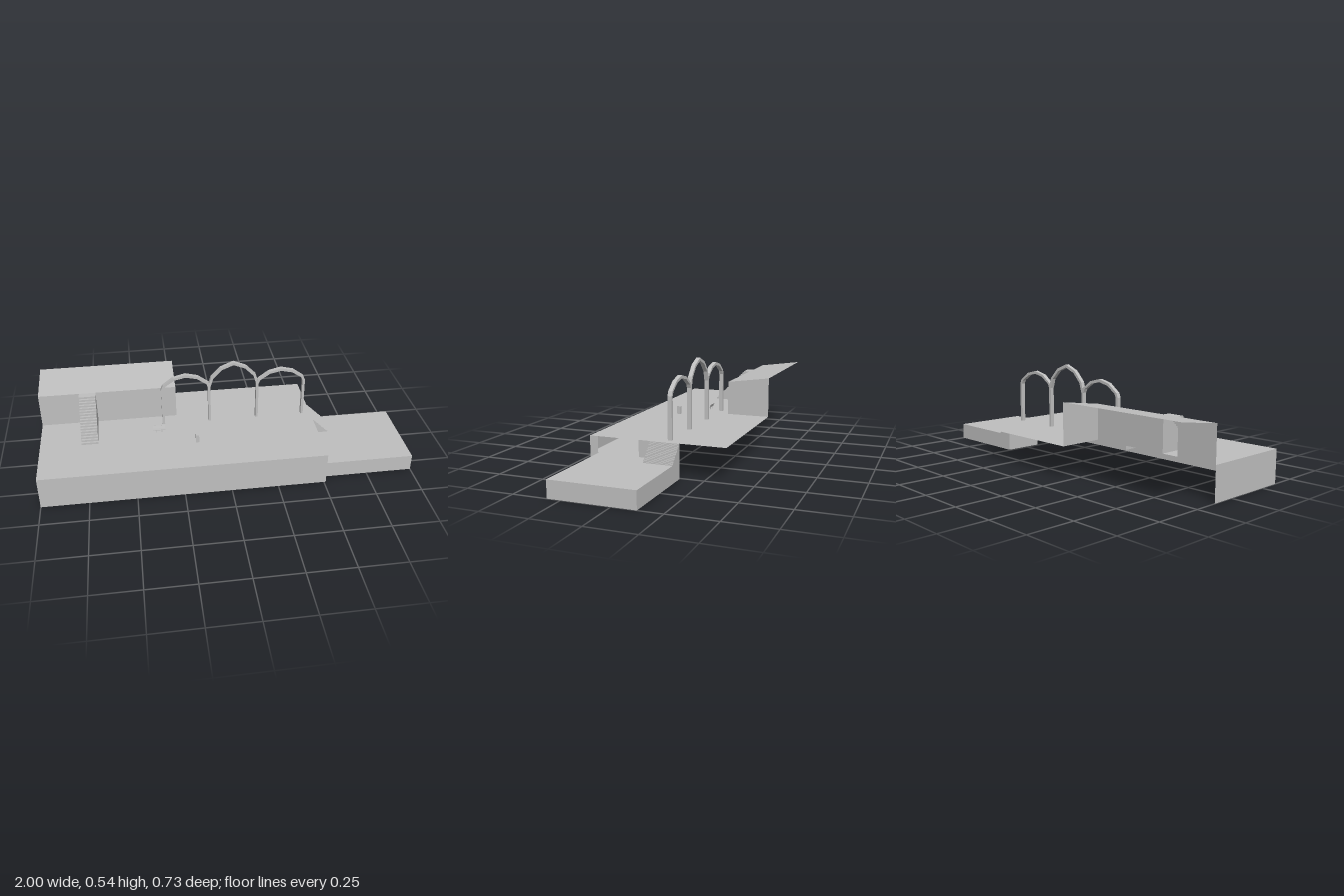
import * as THREE from 'three';

const concrete = new THREE.MeshStandardMaterial({ color: 0xbfbfbf, side: THREE.DoubleSide, flatShading: true });
concrete.name = 'concrete grey';

const DECK = 0.178, LOW = 0.09, BACK = -0.365, FRONT = 0.365, FACE = -0.125, EAVE = 0.367, END = 0.51;

export function createModel() {
  const model = new THREE.Group();
  model.name = 'steppedPlatform';

  const add = (name, geometry, parent = model) => {
    const mesh = new THREE.Mesh(geometry, concrete);
    mesh.name = name;
    parent.add(mesh);
    return mesh;
  };
  // open sheet from a list of four-cornered faces
  const sheet = (name, ...quads) => {
    const g = new THREE.BufferGeometry();
    const pos = quads.flatMap(([a, b, c, d]) => [a, b, c, a, c, d].flat());
    g.setAttribute('position', new THREE.Float32BufferAttribute(pos, 3));
    g.computeVertexNormals();
    return add(name, g);
  };
  const floor = (x0, x1, z0, z1, y, yBack = y) => [[x0, y, z1], [x1, y, z1], [x1, yBack, z0], [x0, yBack, z0]];
  const wallX = (x0, x1, y0, y1, z) => [[x0, y0, z], [x1, y0, z], [x1, y1, z], [x0, y1, z]];
  const wallZ = (z0, z1, y0, y1, x) => [[x, y0, z1], [x, y0, z0], [x, y1, z0], [x, y1, z1]];
  const box = (name, x0, x1, y0, y1, z0, z1, parent) =>
    add(name, new THREE.BoxGeometry(x1 - x0, y1 - y0, z1 - z0), parent)
      .position.set((x0 + x1) / 2, (y0 + y1) / 2, (z0 + z1) / 2);

  // upper platform
  sheet('upperDeck', floor(-1, END, FACE, FRONT, DECK), floor(-0.25, END, BACK, FACE, DECK));
  sheet('upperPlatformWalls', wallX(-1, END, 0, DECK, FRONT), wallZ(FACE, FRONT, 0, DECK, -1),
    wallZ(0.32, FRONT, 0, DECK, END), wallZ(FACE, 0.093, 0, DECK, END));

  // lower platform and the passage that runs in beneath the deck
  sheet('lowerDeck', floor(END, 1, FACE, 0.32, LOW));
  sheet('lowerPlatformWalls', wallX(END, 1, 0, LOW, 0.32), wallX(END, 1, 0, LOW, FACE), wallZ(FACE, 0.32, 0, LOW, 1));
  sheet('passage', floor(-0.245, END, 0.093, FRONT, LOW), wallX(-0.245, END, LOW, DECK, 0.093),
    wallZ(0.093, FRONT, LOW, DECK, -0.245));

  // building with sloping roof, open at the back
  const s0 = -0.78, s1 = -0.69;
  sheet('buildingRoof', floor(-1, -0.25, BACK, FACE, EAVE, 0.4), floor(s0, s1, FACE, -0.087, EAVE));
  sheet('buildingWalls', wallX(-1, s0, DECK, EAVE, FACE), wallX(s1, -0.25, DECK, EAVE, FACE),
    [[-0.25, DECK, FACE], [-0.25, DECK, BACK], [-0.25, 0.4, BACK], [-0.25, EAVE, FACE]]);

  // stairs up to the roof
  const steps = [], n = 17;
  const rise = (EAVE - DECK) / n, run = (0.093 + 0.087) / (n - 1);
  for (let i = 0; i < n; i++) {
    const y = DECK + i * rise, z = 0.093 - i * run;
    const back = i === n - 1 ? FACE : z - run;
    steps.push(wallX(s0, s1, y, y + rise, z));
    if (i < n - 1) steps.push(floor(s0, s1, back, z, y + rise));
    for (const x of [s0, s1]) steps.push(wallZ(back, z, DECK, y + rise, x));
  }
  sheet('roofStairs', ...steps);

  // stairs between the two platforms
  const down = [], m = 18, dy = (DECK - LOW) / m, dx = 0.09 / m;
  for (let i = 0; i < m; i++) {
    const x = END + i * dx, y = DECK - i * dy;
    down.push(floor(x, x + dx, FACE, 0.03, y), wallZ(FACE, 0.03, y - dy, y, x + dx));
    for (const z of [FACE, 0.03]) down.push(wallX(x, x + dx, LOW, y, z));
  }
  sheet('platformStairs', ...down);

  // row of three arches on four posts
  const z0 = -0.068, z1 = -0.046;
  const posts = [-0.327, -0.069, 0.199, 0.461];
  for (const x of posts) box('archPost', x - 0.007, x + 0.007, DECK, 0.4, z0, z1);
  const low = [[-1, 0.4], [-0.93, 0.424], [-0.5, 0.468], [0, 0.485], [0.5, 0.468], [0.93, 0.424], [1, 0.4]];
  const high = [[-1, 0.4], [-0.88, 0.457], [-0.5, 0.513], [0, 0.542], [0.5, 0.513], [0.88, 0.457], [1, 0.4]];
  [low, high, low].forEach((profile, i) => {
    const mid = (posts[i] + posts[i + 1]) / 2, half = (posts[i + 1] - posts[i]) / 2;
    const ring = (r, k) => profile.map(([u, y]) => new THREE.Vector2(mid + u * r, 0.4 + (y - 0.4) * k));
    const top = profile[3][1] - 0.4;
    const outline = [...ring(half + 0.007, 1), ...ring(half - 0.008, (top - 0.016) / top).reverse()];
    const g = new THREE.ExtrudeGeometry(new THREE.Shape(outline), { depth: z1 - z0, bevelEnabled: false });
    add('arch', g).position.z = z0;
  });

  // small pillar
  box('pillar', -0.167, -0.15, DECK, 0.223, 0.132, 0.154);

  // bench
  const bench = new THREE.Group();
  bench.name = 'bench';
  model.add(bench);
  box('seat', -0.39, -0.325, 0.191, 0.194, 0.014, 0.031, bench);
  for (const x of [-0.375, -0.343])
    for (const z of [0.016, 0.028]) box('benchLeg', x - 0.002, x + 0.002, DECK, 0.191, z - 0.001, z + 0.001, bench);
  const rest = add('backrest', new THREE.BoxGeometry(0.065, 0.018, 0.002), bench);
  rest.position.set(-0.3575, 0.2, 0.012);
  rest.rotation.x = -0.35;

  return model;
}
